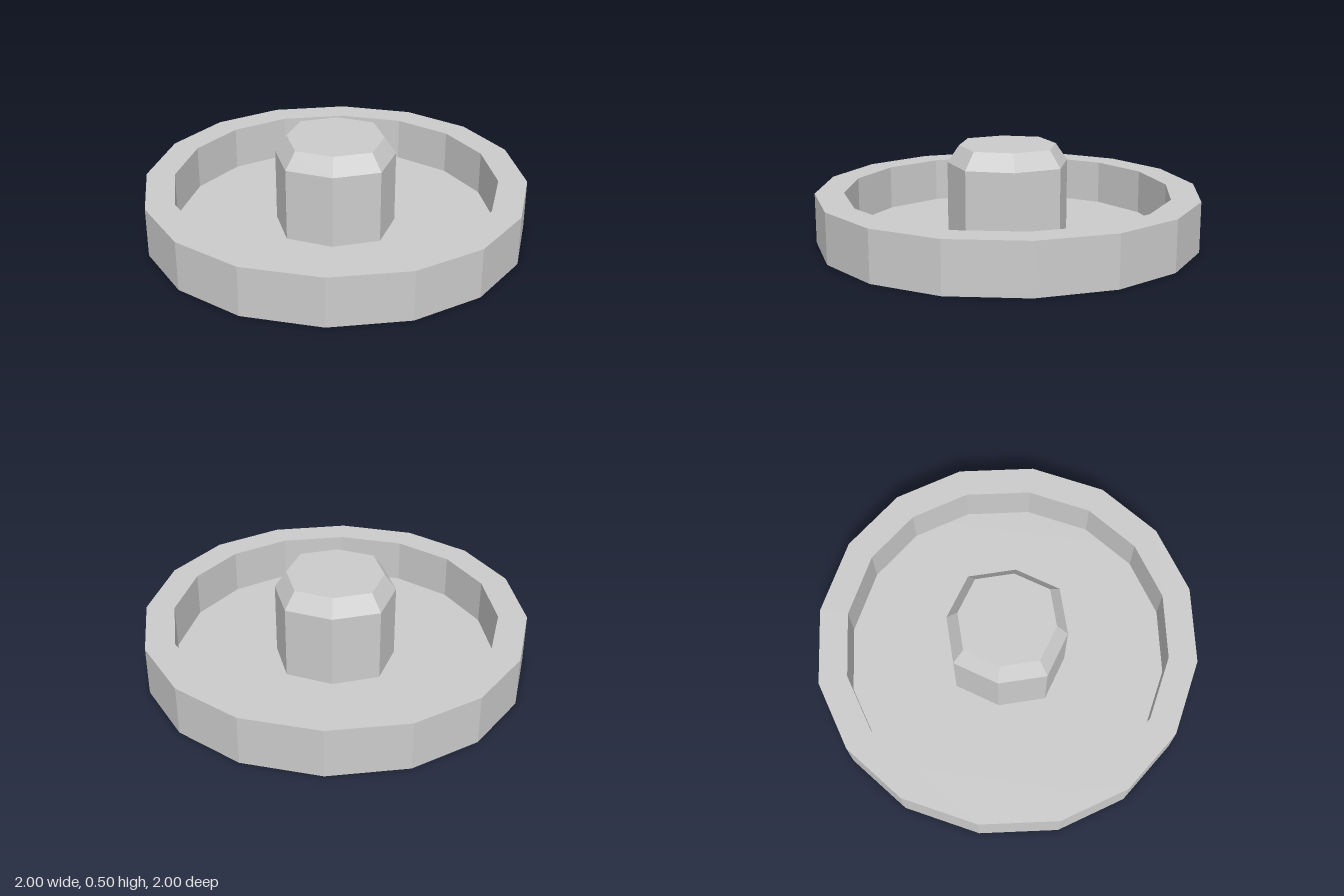
import * as THREE from 'three';

const material = new THREE.MeshStandardMaterial({ color: 0xcccccc, flatShading: true });

// Circle-like outline from four Bezier quarters
function trace(path, r) {
  const k = r * 0.577;
  path.moveTo(r, 0);
  path.bezierCurveTo(r, k, k, r, 0, r);
  path.bezierCurveTo(-k, r, -r, k, -r, 0);
  path.bezierCurveTo(-r, -k, -k, -r, 0, -r);
  path.bezierCurveTo(k, -r, r, -k, r, 0);
  return path;
}

// Upright slab between two heights, four straight sides per quarter
function slab(name, shape, y0, y1) {
  const geometry = new THREE.ExtrudeGeometry(shape, { depth: y1 - y0, bevelEnabled: false, curveSegments: 4 });
  geometry.rotateX(-Math.PI / 2).translate(0, y0, 0);
  const mesh = new THREE.Mesh(geometry, material);
  mesh.name = name;
  return mesh;
}

export function createModel() {
  const group = new THREE.Group();
  group.name = 'dishWithHub';
  const floorY = 0.025;

  // Thin floor disc
  group.add(slab('floor', trace(new THREE.Shape(), 1), 0, floorY));

  // Raised outer rim
  const rim = trace(new THREE.Shape(), 1);
  rim.holes.push(trace(new THREE.Path(), 0.85));
  group.add(slab('rim', rim, floorY, 0.262));

  // Eight-sided central hub with a chamfered top
  const profile = [[0.314, floorY], [0.314, 0.412], [0.253, 0.5], [0, 0.5]];
  const hubGeometry = new THREE.LatheGeometry(profile.map(([r, y]) => new THREE.Vector2(r, y)), 8);
  const pos = hubGeometry.attributes.position;
  for (let i = 0; i < pos.count; i++) {
    // Corners on the diagonals sit slightly further out
    const s = Math.min(Math.abs(pos.getX(i)), Math.abs(pos.getZ(i))) > 0.01 ? 1.08 : 1;
    pos.setX(i, pos.getX(i) * s);
    pos.setZ(i, pos.getZ(i) * s);
  }
  hubGeometry.computeVertexNormals();
  const hub = new THREE.Mesh(hubGeometry, material);
  hub.name = 'hub';
  group.add(hub);

  return group;
}
